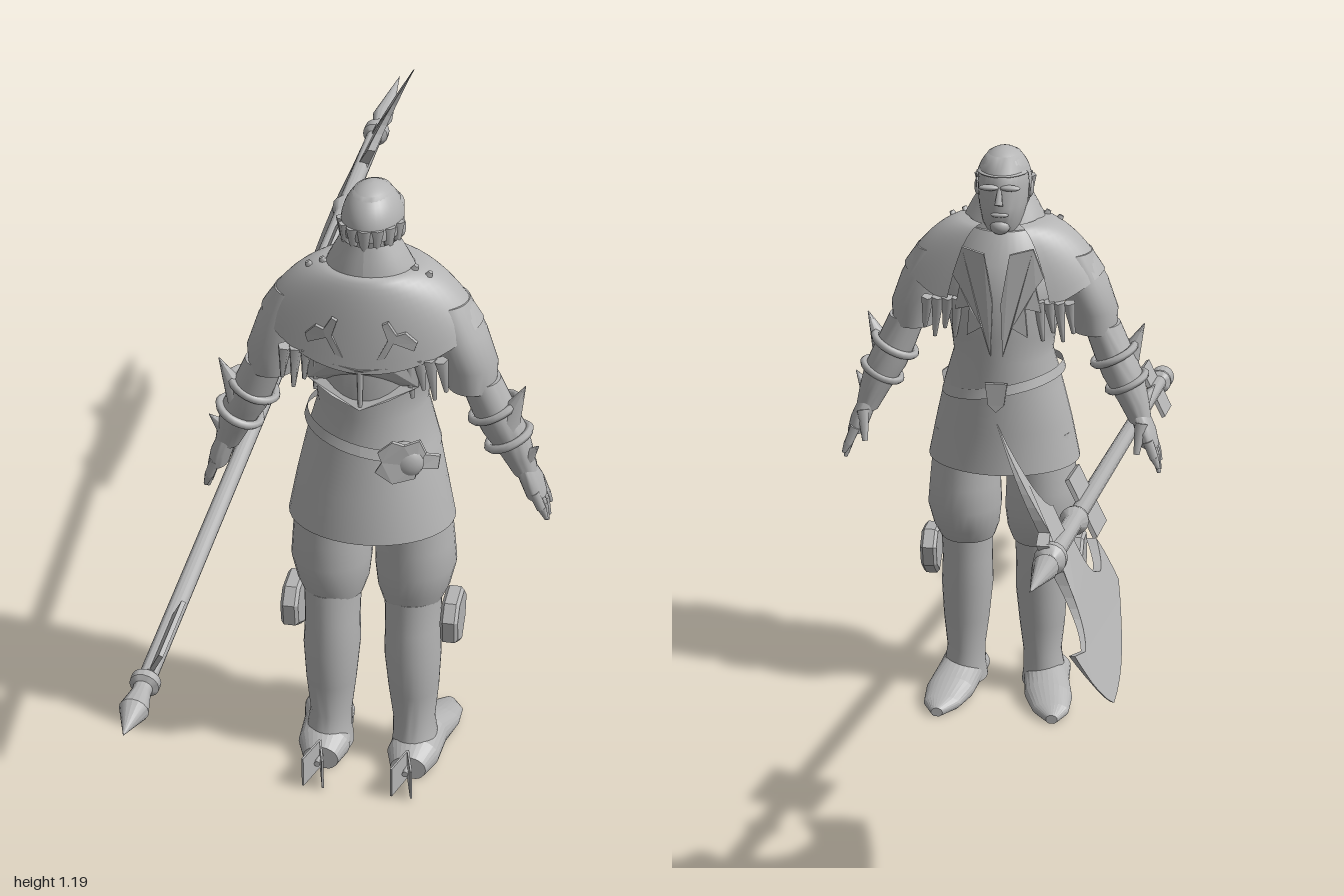
import * as THREE from 'three';
import { toCreasedNormals } from 'three/addons/utils/BufferGeometryUtils.js';

const stone = new THREE.MeshStandardMaterial({ color: 0xb4b4b4, side: THREE.DoubleSide });
stone.name = 'grey';

function add(parent, name, geo) {
  const m = new THREE.Mesh(geo, stone);
  m.name = name;
  parent.add(m);
  return m;
}

// Stack of ellipses, each [height, centreX, centreZ, radiusX, radiusZ], rising, closed at both ends
function loft(rings, crease = 0.9, n = 28) {
  const all = [[...rings[0].slice(0, 3), 0, 0], ...rings, [...rings.at(-1).slice(0, 3), 0, 0]];
  const pos = [], idx = [];
  all.forEach(([y, cx, cz, rx, rz], j) => {
    for (let i = 0; i < n; i++) {
      const a = (i / n) * Math.PI * 2;
      pos.push(cx + rx * Math.sin(a), y, cz + rz * Math.cos(a));
      if (j === all.length - 1) continue;
      const p = j * n + i, q = j * n + (i + 1) % n;
      if (j > 0) idx.push(p, q, q + n);
      else idx.push(p, q + n, p + n);
      if (j > 0 && j < all.length - 2) idx.push(p, q + n, p + n);
    }
  });
  const g = new THREE.BufferGeometry();
  g.setAttribute('position', new THREE.Float32BufferAttribute(pos, 3));
  g.setIndex(idx);
  return toCreasedNormals(g, crease);
}

// Move every vertex by a rule
function warp(g, rule) {
  const p = g.attributes.position, v = new THREE.Vector3();
  for (let i = 0; i < p.count; i++) {
    rule(v.fromBufferAttribute(p, i));
    p.setXYZ(i, v.x, v.y, v.z);
  }
  g.computeVertexNormals();
  return g;
}

const outline = pts => new THREE.Shape(pts.map(p => new THREE.Vector2(...p)));

// Thin plate wrapped over the body; side is -1 for the chest, +1 for the back
function drape(pts, side, rx, rz, off, depth = 0.008) {
  const g = new THREE.ExtrudeGeometry(outline(pts), { depth, bevelEnabled: false });
  return warp(g, v => {
    const bend = Math.sqrt(Math.max(0.05, 1 - (v.x / rx) ** 2));
    v.z = 0.303 + side * (rz * bend + off + v.z);
  });
}

// Pointed or tapering rod between two points
function spike(a, b, r0, r1 = 0.001, flat = 1, sides = 8) {
  const A = new THREE.Vector3(...a), B = new THREE.Vector3(...b), d = B.clone().sub(A);
  const g = new THREE.CylinderGeometry(r1, r0, d.length(), sides);
  g.scale(flat, 1, 1);
  g.applyQuaternion(new THREE.Quaternion().setFromUnitVectors(new THREE.Vector3(0, 1, 0), d.normalize()));
  return g.translate(...A.add(B).multiplyScalar(0.5).toArray());
}

function ball(x, y, z, rx, ry, rz) {
  return new THREE.SphereGeometry(1, 16, 12).scale(rx, ry, rz).translate(x, y, z);
}

// Arm, leg and shoulder parts of the +x side
function buildSide() {
  const s = new THREE.Group();
  add(s, 'trouser', loft([[0.355, 0.075, 0.312, 0.056, 0.06], [0.385, 0.077, 0.308, 0.068, 0.074],
    [0.43, 0.08, 0.305, 0.076, 0.084], [0.48, 0.079, 0.305, 0.073, 0.082], [0.6, 0.075, 0.31, 0.066, 0.08]]));
  add(s, 'boot', loft([[0.015, 0.085, 0.335, 0.048, 0.06], [0.05, 0.084, 0.33, 0.043, 0.054], [0.09, 0.081, 0.326, 0.04, 0.047],
    [0.16, 0.08, 0.326, 0.048, 0.053], [0.24, 0.078, 0.325, 0.054, 0.061], [0.3, 0.077, 0.32, 0.052, 0.06],
    [0.365, 0.077, 0.316, 0.054, 0.06]]));
  const foot = loft([[-0.41, 0.085, 0.022, 0.034, 0.026], [-0.37, 0.087, 0.028, 0.05, 0.036], [-0.3, 0.093, 0.03, 0.048, 0.04],
    [-0.24, 0.104, 0.022, 0.05, 0.029], [-0.19, 0.114, 0.014, 0.038, 0.018], [-0.158, 0.12, 0.009, 0.012, 0.01]]);
  foot.rotateX(-Math.PI / 2);
  add(s, 'foot', warp(foot, v => { v.y = Math.max(0, v.y); }));
  // Heel spur: small folded plate behind the foot
  add(s, 'spurArm', spike([0.085, 0.03, 0.4], [0.085, 0.03, 0.44], 0.006, 0.006));
  for (const k of [-1, 1]) {
    const p = add(s, 'spurPlate', new THREE.BoxGeometry(0.004, 0.062, 0.068));
    p.position.set(0.085 + k * 0.01, 0.036, 0.445);
    p.rotation.y = k * 0.28;
  }
  const knee = new THREE.ExtrudeGeometry(outline([[-0.34, 0.355], [-0.29, 0.36], [-0.265, 0.335], [-0.275, 0.295],
    [-0.31, 0.265], [-0.355, 0.29], [-0.36, 0.33]]), { depth: 0.022, bevelEnabled: true, bevelSize: 0.006, bevelThickness: 0.006, bevelSegments: 1 });
  knee.rotateY(Math.PI / 2);
  add(s, 'kneePlate', knee.translate(0.141, 0, 0));

  // Sleeve, forearm and gauntlet
  add(s, 'sleeve', loft([[0.815, 0.182, 0.312, 0.044, 0.052], [0.86, 0.178, 0.312, 0.05, 0.058],
    [0.92, 0.155, 0.31, 0.052, 0.064], [0.98, 0.13, 0.308, 0.045, 0.055]]));
  add(s, 'forearm', loft([[0.63, 0.279, 0.29, 0.023, 0.026], [0.67, 0.264, 0.295, 0.031, 0.033], [0.72, 0.242, 0.302, 0.042, 0.042],
    [0.765, 0.222, 0.308, 0.041, 0.044], [0.83, 0.195, 0.312, 0.038, 0.044]]));
  for (const [x, y, r] of [[0.222, 0.765, 0.045], [0.249, 0.708, 0.041]]) {
    const t = add(s, 'gauntletRim', new THREE.TorusGeometry(r, 0.008, 6, 24));
    t.position.set(x, y, 0.305);
    t.rotation.set(Math.PI / 2, 0.45, 0);
  }
  add(s, 'elbowSpike', spike([0.245, 0.745, 0.318], [0.28, 0.825, 0.325], 0.027));
  add(s, 'wristSpike', spike([0.275, 0.66, 0.3], [0.305, 0.7, 0.315], 0.02));
  add(s, 'palm', loft([[0.585, 0.299, 0.283, 0.019, 0.034], [0.615, 0.29, 0.285, 0.021, 0.038], [0.65, 0.275, 0.292, 0.02, 0.027]]));
  for (let i = 0; i < 4; i++) {
    const z = 0.31 - i * 0.019, drop = [0.012, 0, 0, 0.016][i];
    add(s, 'finger', spike([0.298, 0.6, z], [0.312, 0.565, z - 0.004], 0.0105, 0.009));
    add(s, 'fingertip', spike([0.312, 0.567, z - 0.004], [0.321, 0.53 + drop, z - 0.008], 0.009, 0.004));
  }
  add(s, 'thumb', spike([0.283, 0.635, 0.262], [0.276, 0.575, 0.243], 0.013, 0.006));

  // Torn tassels beneath the cape, front and back
  for (const z of [0.225, 0.385]) for (let i = 0; i < 4; i++) {
    const x = 0.08 + i * 0.02;
    add(s, 'tassel', spike([x, 0.9, z + (z > 0.3 ? 1 : -1) * 0.01], [x + 0.008, 0.815 + (i % 2) * 0.018, z], 0.013, 0.004, 1, 5));
  }
  for (const [x, y] of [[0.07, 1.0], [0.095, 0.99]])
    add(s, 'collarPoint', spike([x - 0.01, y, 0.33], [x + 0.015, y + 0.05, 0.335], 0.02, 0.005, 1, 5));
  // Chest lapels and cape clasp
  add(s, 'lapel', drape([[0.008, 0.9], [0.025, 1.0], [0.07, 1.01], [0.09, 0.95], [0.075, 0.93], [0.085, 0.88],
    [0.055, 0.89], [0.06, 0.83], [0.03, 0.85], [0.012, 0.79]], -1, 0.15, 0.107, 0.002));
  add(s, 'cloakClasp', drape([[0.03, 0.9], [0.045, 0.905], [0.06, 0.935], [0.095, 0.92], [0.1, 0.935], [0.08, 0.955],
    [0.065, 0.95], [0.05, 0.975], [0.04, 0.97], [0.05, 0.94]], 1, 0.2, 0.1, 0.01));
  add(s, 'ear', ball(0.052, 1.105, 0.3, 0.007, 0.018, 0.012));
  add(s, 'brow', ball(0.021, 1.123, 0.227, 0.02, 0.006, 0.009));
  return s;
}

// Polearm axis, from butt to tip
const butt = new THREE.Vector3(-0.28, 0.47, 1), tip = new THREE.Vector3(-0.21, 0.845, -1);

function buildPolearm() {
  const g = new THREE.Group();
  g.name = 'polearm';
  const axis = tip.clone().sub(butt), L = axis.length();
  const rod = new THREE.Group();
  rod.name = 'shaftGroup';
  rod.position.copy(butt);
  rod.quaternion.setFromUnitVectors(new THREE.Vector3(0, 1, 0), axis.normalize());
  g.add(rod);
  const profile = [[0, 0], [0.026, 0.06], [0.017, 0.1], [0.017, 0.112], [0.026, 0.118], [0.026, 0.132], [0.016, 0.142],
    [0.016, 1.5], [0.024, 1.515], [0.026, 1.53], [0.017, 1.55], [0.017, 1.79], [0.027, 1.8], [0.027, 1.82],
    [0.013, 1.835], [0.022, 1.87], [0, L]].map(p => new THREE.Vector2(...p));
  add(rod, 'shaft', toCreasedNormals(new THREE.LatheGeometry(profile, 16), 0.6));
  for (const s of [0.21, 1.37]) {
    const p = add(rod, 'shaftPlate', new THREE.BoxGeometry(0.008, 0.135, 0.115));
    p.position.y = s;
    p.rotation.y = 0.46;
  }
  // Axe blade and hook, leaning sideways about the shaft
  const sh = new THREE.Shape();
  sh.moveTo(0.68, 0.995);
  sh.quadraticCurveTo(0.75, 0.92, 0.735, 0.83);
  sh.lineTo(0.79, 0.83);
  sh.lineTo(0.78, 0.78);
  sh.quadraticCurveTo(0.79, 0.69, 0.87, 0.685);
  sh.lineTo(0.95, 0.715);
  sh.quadraticCurveTo(0.91, 0.62, 0.85, 0.585);
  sh.quadraticCurveTo(0.63, 0.55, 0.415, 0.605);
  sh.quadraticCurveTo(0.42, 0.66, 0.445, 0.695);
  sh.quadraticCurveTo(0.5, 0.65, 0.55, 0.68);
  sh.quadraticCurveTo(0.61, 0.7, 0.61, 0.765);
  sh.lineTo(0.64, 0.79);
  sh.lineTo(0.62, 0.83);
  sh.quadraticCurveTo(0.71, 0.86, 0.68, 0.995);
  const blade = new THREE.ExtrudeGeometry(sh, { depth: 0.024, bevelEnabled: false, curveSegments: 8 });
  blade.translate(0, 0, -0.012).rotateY(Math.PI / 2);
  warp(blade, v => {
    const t = (1 - v.z) / 2, lift = v.y - THREE.MathUtils.lerp(butt.y, tip.y, t);
    v.x *= Math.max(0.1, 1 - Math.abs(lift) * 5);
    v.x += THREE.MathUtils.lerp(butt.x, tip.x, t) + lift * 0.5;
  });
  add(g, 'axeBlade', blade);
  return g;
}

export function createModel() {
  const model = new THREE.Group();
  model.name = 'armouredWarrior';

  // Coat from hem to shoulders
  add(model, 'coat', loft([[0.535, 0, 0.318, 0.155, 0.128], [0.62, 0, 0.315, 0.138, 0.12], [0.7, 0, 0.304, 0.12, 0.112],
    [0.77, 0, 0.302, 0.1, 0.108], [0.82, 0, 0.302, 0.106, 0.112], [0.9, 0, 0.302, 0.126, 0.112],
    [0.97, 0, 0.304, 0.122, 0.1], [1.03, 0, 0.31, 0.07, 0.07]], 0.9, 40));

  // Shoulder cape, open at the chest
  const cape = new THREE.PlaneGeometry(1, 1, 48, 12);
  add(model, 'shoulderCape', warp(cape, p => {
    const a = p.x * 5.2, v = 0.5 - p.y, hem = 0.872 + 0.07 * Math.sin(a) ** 2;
    p.set((0.07 + 0.13 * v ** 0.8) * Math.sin(a), 1.045 - (1.045 - hem) * v ** 1.6,
      0.308 + (0.072 + 0.042 * Math.sqrt(v)) * Math.cos(a));
  }));

  // High collar, dipping at the front
  const collar = new THREE.CylinderGeometry(0.052, 0.088, 0.11, 36, 5, true);
  add(model, 'collar', warp(collar, p => {
    const front = Math.max(0, -p.z / 0.07), h = (p.y + 0.055) / 0.11;
    p.x *= 1 + 0.16 * Math.sin(h * Math.PI);
    p.y += 1.04 - h * 0.06 * Math.min(1, front);
    p.z = 0.315 + p.z * (0.9 + 0.25 * h);
  }));

  // Head, facing -z
  add(model, 'head', loft([[0.98, 0, 0.31, 0.045, 0.045], [1.03, 0, 0.295, 0.036, 0.058], [1.045, 0, 0.285, 0.04, 0.06],
    [1.08, 0, 0.29, 0.048, 0.064], [1.12, 0, 0.295, 0.051, 0.07], [1.15, 0, 0.297, 0.048, 0.067], [1.175, 0, 0.3, 0.032, 0.045]], 1.5));
  const hair = new THREE.SphereGeometry(1, 32, 16, 0, Math.PI * 2, 0, 1.75);
  add(model, 'hair', warp(hair, p => {
    const low = Math.max(0, 0.45 - p.y);
    const up = p.z < -0.2 ? low * 0.9 : 0;
    p.set(p.x * 0.055, 1.115 + (p.y + up) * 0.072, 0.3 + p.z * 0.075);
  }));
  for (let i = -3; i <= 3; i++) {
    const a = i * 0.42, x = 0.05 * Math.sin(a), z = 0.3 + 0.068 * Math.cos(a);
    add(model, 'hairLock', spike([x, 1.125, z], [x * 1.02, 1.065 + (i % 2 ? 0.012 : 0), z + 0.003], 0.014, 0.003, 1, 6));
  }
  add(model, 'nose', spike([0, 1.12, 0.229], [0, 1.09, 0.217], 0.004, 0.009, 1, 6));
  add(model, 'mouth', ball(0, 1.068, 0.229, 0.018, 0.005, 0.007));
  add(model, 'chin', ball(0, 1.043, 0.236, 0.02, 0.016, 0.016));

  // Back plate, belt and pouch
  add(model, 'backPlate', drape([[-0.1, 0.89], [-0.1, 0.84], [-0.05, 0.82], [0, 0.8], [0.05, 0.82], [0.1, 0.84],
    [0.1, 0.89], [0.05, 0.885], [0, 0.88], [-0.05, 0.885]], 1, 0.14, 0.112, 0.002));
  add(model, 'backRidge', spike([0, 0.88, 0.415], [0, 0.805, 0.418], 0.006, 0.004));
  const belt = new THREE.CylinderGeometry(0.119, 0.125, 0.02, 40, 1, true);
  add(model, 'belt', warp(belt, p => p.set(p.x, p.y + 0.715 - p.x * 0.2, 0.304 + p.z * 0.96)));
  add(model, 'pouch', ball(0.078, 0.695, 0.4, 0.034, 0.036, 0.024));
  add(model, 'pouchFlap', drape([[0.035, 0.725], [0.06, 0.745], [0.08, 0.735], [0.105, 0.74], [0.115, 0.71], [0.1, 0.69],
    [0.098, 0.665], [0.06, 0.66], [0.03, 0.685], [0.042, 0.705]], 1, 0.15, 0.116, 0.014));
  add(model, 'pouchStrap', drape([[0.1, 0.71], [0.135, 0.69], [0.132, 0.665], [0.1, 0.68]], 1, 0.15, 0.11, 0.008));
  add(model, 'frontBuckle', drape([[-0.022, 0.735], [0.022, 0.735], [0.016, 0.69], [0, 0.675], [-0.016, 0.69]], -1, 0.14, 0.11, 0.006));

  // Both sides
  for (const k of [1, -1]) {
    const s = buildSide();
    s.name = k > 0 ? 'leftSide' : 'rightSide';
    s.scale.x = k;
    model.add(s);
  }
  model.add(buildPolearm());
  return model;
}
